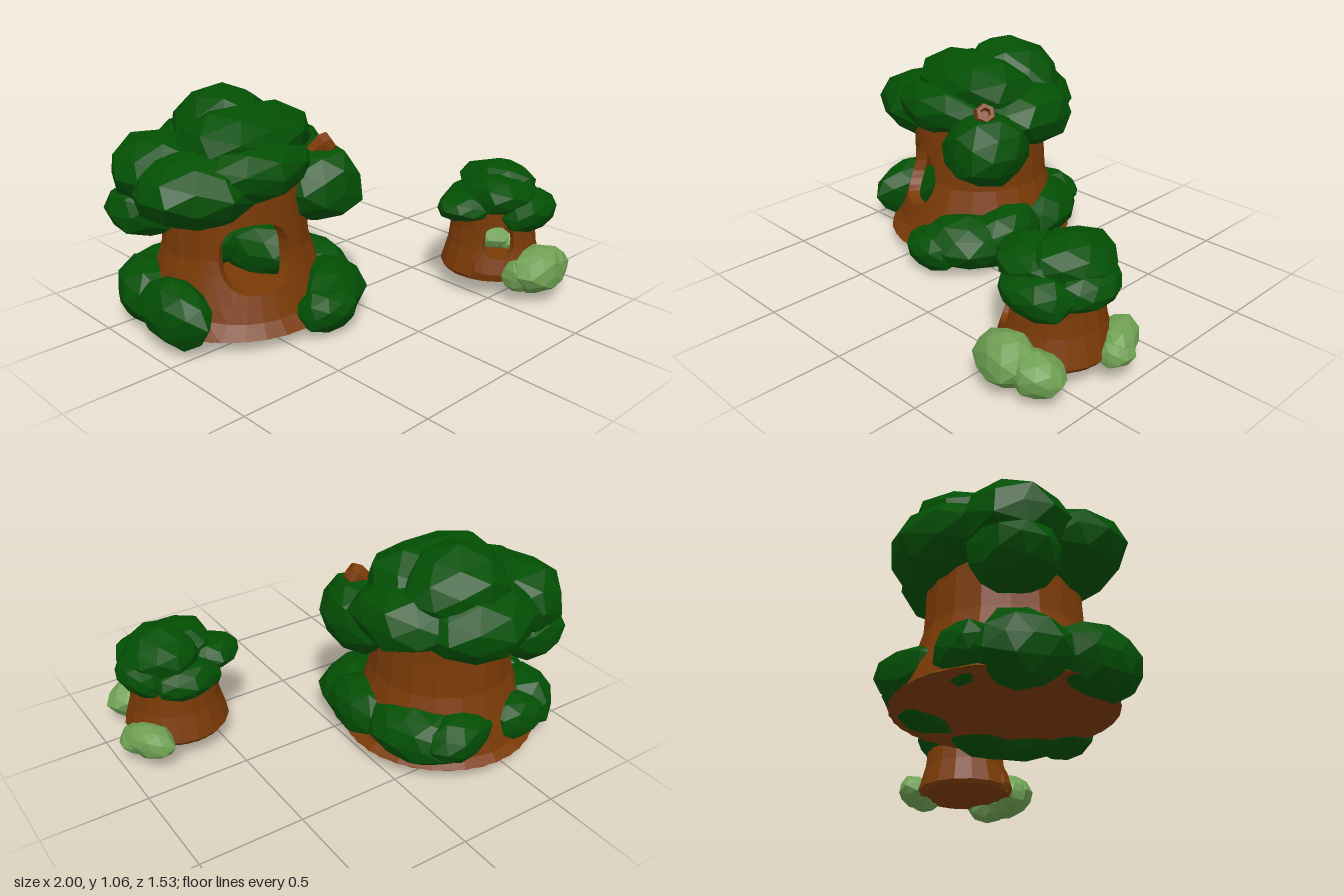
import * as THREE from 'three';

const bark = new THREE.MeshStandardMaterial({ color: 0x7a3a06, flatShading: true, side: THREE.DoubleSide });
bark.name = 'bark brown';
const leaf = new THREE.MeshStandardMaterial({ color: 0x034f04, flatShading: true });
leaf.name = 'leaf green';
const paleLeaf = new THREE.MeshStandardMaterial({ color: 0x6fa053, flatShading: true });
paleLeaf.name = 'pale leaf green';

function add(parent, name, geometry, material) {
  const mesh = new THREE.Mesh(geometry, material);
  mesh.name = name;
  parent.add(mesh);
  return mesh;
}

// Lumpy faceted leaf clump: [x, y, z, rx, ry, rz, yaw]
function clump(parent, name, [x, y, z, rx, ry, rz, yaw = 0], seed, material) {
  const g = new THREE.IcosahedronGeometry(1, 1);
  const p = g.attributes.position;
  const v = new THREE.Vector3();
  for (let i = 0; i < p.count; i++) {
    v.fromBufferAttribute(p, i);
    const k = 1 + 0.06 * Math.sin(4.1 * v.x + seed * 2.3) + 0.05 * Math.sin(5.3 * v.y + 3.7 * v.z + seed * 1.7);
    p.setXYZ(i, v.x * k * rx, v.y * k * ry, v.z * k * rz);
  }
  g.computeVertexNormals();
  const mesh = add(parent, name, g, material);
  mesh.position.set(x, y, z);
  mesh.rotation.y = yaw;
}

// Curved wall section with a round doorway: rings running from the reveal out to the seam
function doorwayGeometry(radiusAt, bottom, top, { half, y, rx, ry, depth }) {
  const sides = 24, rings = 5, positions = [], index = [];
  const soft = (t) => Math.sign(t) * Math.abs(t) ** 0.8;
  for (let j = 0; j < rings; j++) {
    const t = Math.max(0, j - 1) / (rings - 2);
    for (let i = 0; i < sides; i++) {
      const a = i / sides * Math.PI * 2, c = Math.cos(a), s = Math.sin(a);
      const m = Math.max(Math.abs(c), Math.abs(s));
      const holeY = y + ry * soft(s);
      const edgeY = y + s / m * (s > 0 ? top - y : y - bottom);
      const h = holeY + (edgeY - holeY) * t;
      const holeTurn = rx / radiusAt(holeY) * soft(c);
      const turn = holeTurn + (half * c / m - holeTurn) * t;
      const r = radiusAt(h) - (j === 0 ? depth : 0);
      positions.push(r * Math.sin(turn), h, r * Math.cos(turn));
      if (j > 0) {
        const n = (i + 1) % sides, inner = (j - 1) * sides, outer = j * sides;
        index.push(inner + i, outer + i, outer + n, inner + i, outer + n, inner + n);
      }
    }
  }
  const g = new THREE.BufferGeometry();
  g.setAttribute('position', new THREE.Float32BufferAttribute(positions, 3));
  g.setIndex(index);
  g.computeVertexNormals();
  return g;
}

// Hollow trunk: a lathed wall with a gap, closed by the doorway section
function trunk(parent, name, profile, [x, z], door) {
  const group = new THREE.Group();
  group.name = name;
  group.position.set(x, 0, z);
  group.rotation.y = door.angle;
  parent.add(group);

  const [baseR, bottom] = profile[0];
  const [topR, top] = profile[profile.length - 1];
  const radiusAt = (h) => {
    for (let i = 1; i < profile.length; i++) {
      const [r0, h0] = profile[i - 1], [r1, h1] = profile[i];
      if (h <= h1) return r0 + (r1 - r0) * Math.max(0, (h - h0) / (h1 - h0));
    }
    return topR;
  };
  const points = profile.map(([r, h]) => new THREE.Vector2(r, h));
  add(group, 'trunkWall', new THREE.LatheGeometry(points, 14, door.half, Math.PI * 2 - 2 * door.half), bark);
  add(group, 'trunkBase', new THREE.CircleGeometry(baseR, 18).rotateX(Math.PI / 2), bark).position.y = bottom;
  add(group, 'doorwayWall', doorwayGeometry(radiusAt, bottom, top, door), bark);
}

export function createModel() {
  const model = new THREE.Group();
  model.name = 'treeHouses';

  // Large tree
  const big = new THREE.Group();
  big.name = 'largeTree';
  model.add(big);
  trunk(big, 'largeTrunk',
    [[0.47, 0.07], [0.43, 0.1], [0.38, 0.25], [0.34, 0.38], [0.33, 0.55], [0.33, 0.72]],
    [-0.44, -0.255], { angle: -0.39, half: 0.75, y: 0.395, rx: 0.165, ry: 0.155, depth: 0.06 });
  [
    [-0.37, 0.85, -0.41, 0.27, 0.2, 0.24],
    [-0.41, 0.84, -0.21, 0.33, 0.17, 0.24],
    [-0.71, 0.70, -0.16, 0.29, 0.17, 0.25],
    [-0.70, 0.73, -0.41, 0.26, 0.18, 0.24],
    [-0.77, 0.56, -0.46, 0.18, 0.145, 0.19],
    [-0.42, 0.73, -0.52, 0.32, 0.18, 0.23],
    [-0.19, 0.74, -0.3, 0.23, 0.17, 0.29],
    [-0.15, 0.63, -0.02, 0.2, 0.185, 0.22],
    [-0.47, 0.75, -0.06, 0.33, 0.13, 0.19],
  ].forEach((c, i) => clump(big, 'largeCanopy', c, i + 1, leaf));
  [
    [-0.17, 0.15, 0.08, 0.17, 0.135, 0.24, -0.75],
    [-0.29, 0.12, 0.2, 0.15, 0.105, 0.125],
    [-0.1, 0.165, -0.1, 0.155, 0.15, 0.21],
    [-0.14, 0.18, -0.44, 0.14, 0.145, 0.25, 0.35],
    [-0.3, 0.2, -0.59, 0.2, 0.115, 0.12, 0.25],
    [-0.87, 0.17, -0.14, 0.13, 0.15, 0.22],
    [-0.79, 0.16, -0.45, 0.16, 0.15, 0.2, -0.4],
    [-0.62, 0.18, -0.58, 0.16, 0.12, 0.12, -0.3],
  ].forEach((c, i) => clump(big, 'largeTreeBush', c, i + 12, leaf));

  // Hollow broken branch poking through the leaves
  const branch = add(big, 'branchStub', new THREE.LatheGeometry([
    [0.035, -0.09], [0.056, 0.005], [0.045, 0.04], [0.025, 0.04], [0.02, 0.01], [0, 0.01],
  ].map(([r, h]) => new THREE.Vector2(r, h)), 6), bark);
  branch.position.set(-0.125, 0.81, 0.01);
  branch.quaternion.setFromUnitVectors(new THREE.Vector3(0, 1, 0), new THREE.Vector3(0.6, 0.5, 0.4).normalize());

  // Small tree
  const small = new THREE.Group();
  small.name = 'smallTree';
  model.add(small);
  trunk(small, 'smallTrunk',
    [[0.235, 0.105], [0.25, 0.125], [0.24, 0.16], [0.215, 0.25], [0.205, 0.34], [0.205, 0.45]],
    [0.67, 0.375], { angle: -0.75, half: 0.6, y: 0.295, rx: 0.075, ry: 0.08, depth: 0.035 });
  [
    [0.73, 0.51, 0.35, 0.18, 0.115, 0.2],
    [0.63, 0.5, 0.43, 0.17, 0.1, 0.18],
    [0.49, 0.45, 0.34, 0.145, 0.075, 0.14],
    [0.84, 0.43, 0.36, 0.105, 0.1, 0.17],
    [0.71, 0.42, 0.54, 0.17, 0.1, 0.125],
    [0.67, 0.41, 0.22, 0.18, 0.095, 0.11],
  ].forEach((c, i) => clump(small, 'smallCanopy', c, i + 20, leaf));
  [
    [0.66, 0.16, 0.66, 0.14, 0.12, 0.115],
    [0.8, 0.13, 0.62, 0.13, 0.095, 0.105],
    [0.58, 0.14, 0.61, 0.075, 0.08, 0.08],
    [0.88, 0.15, 0.22, 0.095, 0.08, 0.135, 0.5],
    [0.92, 0.13, 0.28, 0.08, 0.065, 0.09, 0.3],
  ].forEach((c, i) => clump(small, 'paleBush', c, i + 30, paleLeaf));
  return model;
}
